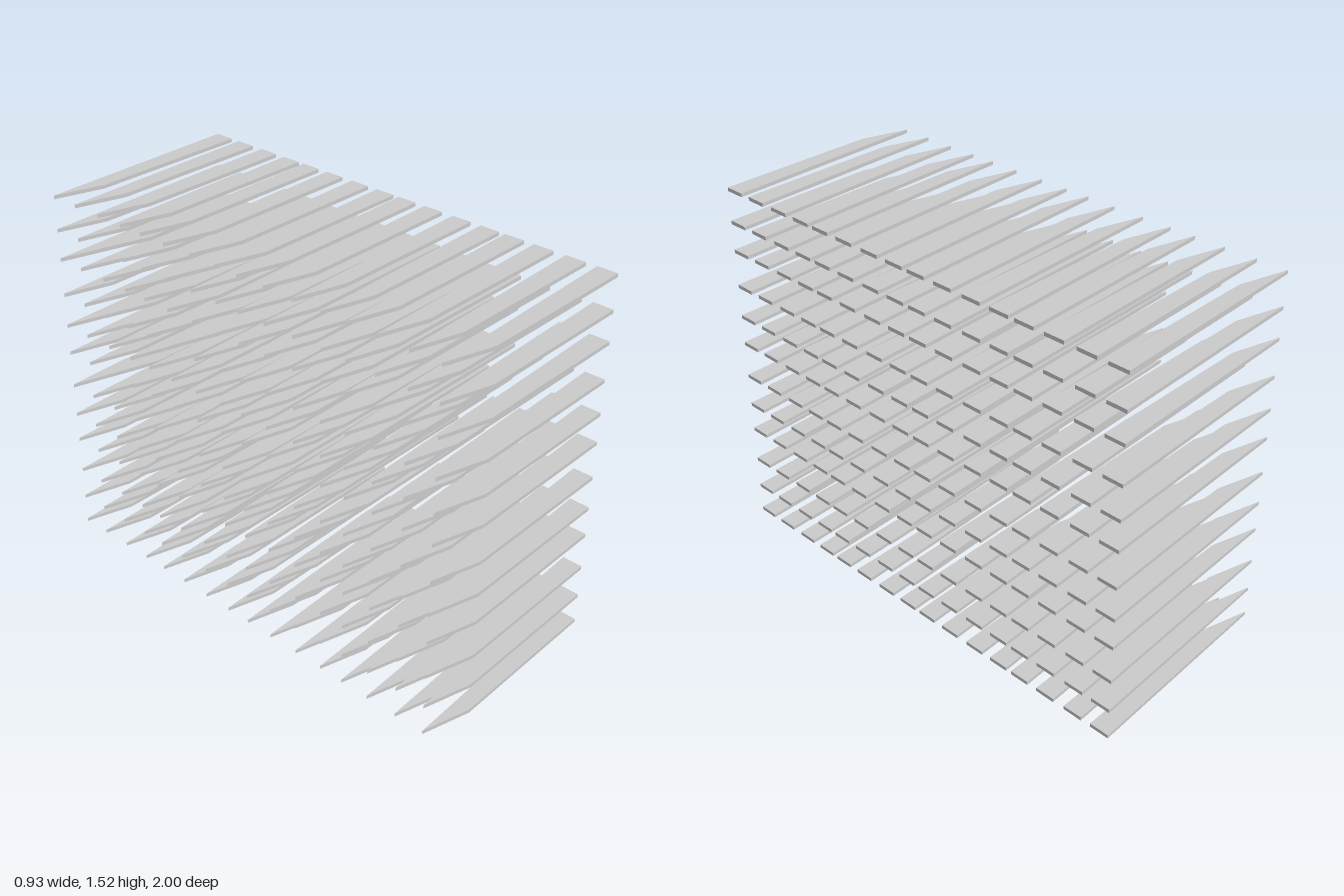
import * as THREE from 'three';

const THICKNESS = 0.015;

// One flat slat: square at the left end, sharpened to a point at the right end
function slatGeometry() {
  const outline = [[-0.463, 0.054], [-0.26, 0.106], [0.431, 0.084], [0.43, 0]]; // x, z
  const shape = new THREE.Shape(outline.map(([x, z]) => new THREE.Vector2(x, -z)));
  const geometry = new THREE.ExtrudeGeometry(shape, { depth: THICKNESS, bevelEnabled: false });
  return geometry.rotateX(-Math.PI / 2);
}

// Positions made of a repeating group of uneven offsets
function positions(groups, period, offsets) {
  const list = [];
  for (let g = 0; g < groups; g++) for (const o of offsets) list.push(g * period + o);
  return list;
}

export function createModel() {
  const model = new THREE.Group();
  model.name = 'slatStack';
  const material = new THREE.MeshStandardMaterial({ color: 0xcccccc, flatShading: true });
  const geometry = slatGeometry();

  const heights = positions(4, 0.416, [0, 0.124, 0.262]);
  const depths = positions(4, 0.501, [0, 0.127, 0.262, 0.391]);
  const drift = 0.032 / depths[depths.length - 1]; // each row leans slightly towards +x

  heights.forEach((y, level) => {
    const layer = new THREE.Group();
    layer.name = `layer${level + 1}`;
    layer.position.y = y;
    depths.forEach((d, i) => {
      const slat = new THREE.Mesh(geometry, material);
      slat.name = `slat${i + 1}`;
      slat.position.set(d * drift, 0, d - 1);
      layer.add(slat);
    });
    model.add(layer);
  });
  return model;
}
